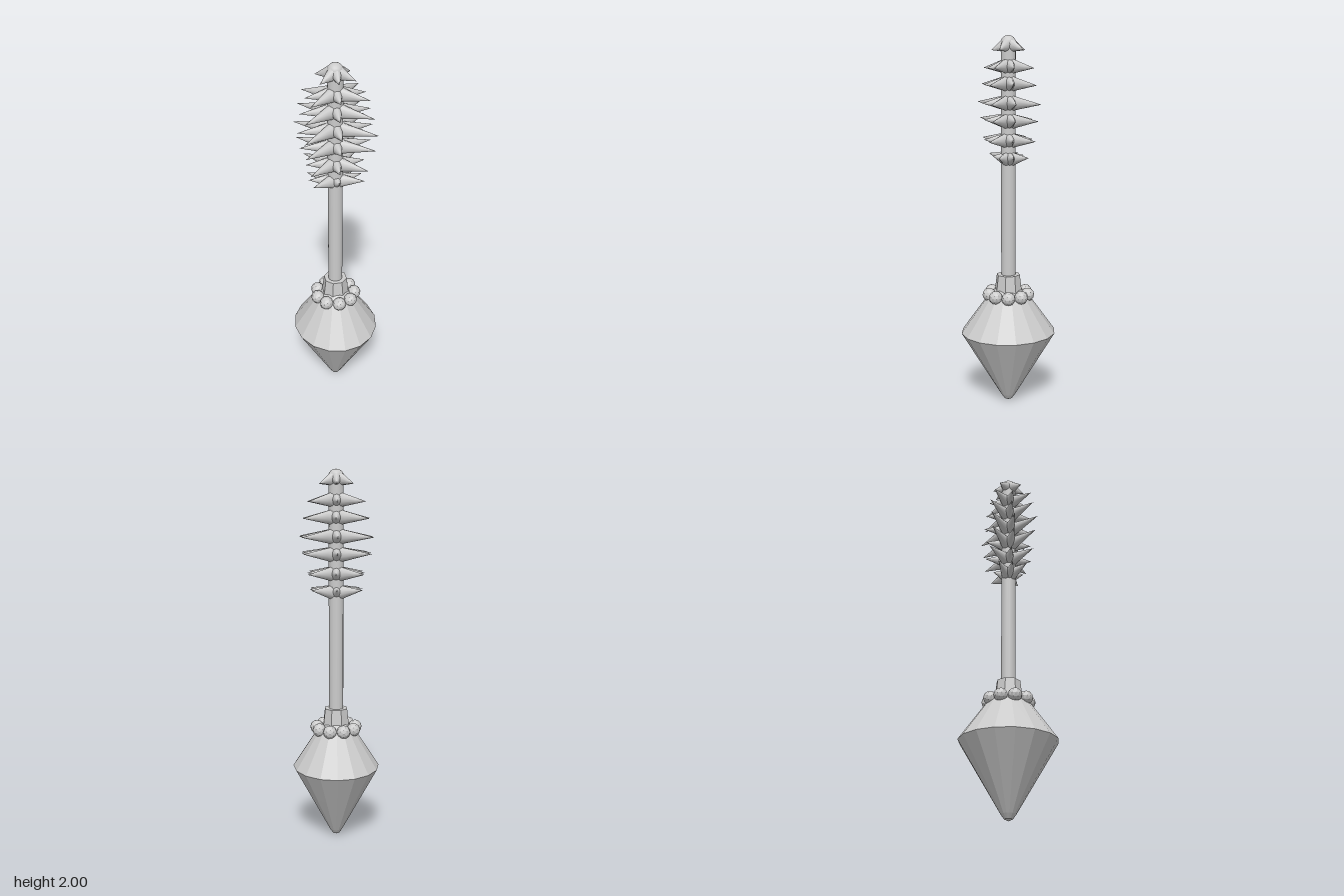
import * as THREE from 'three';

export function createModel() {
  const model = new THREE.Group();
  const smooth = new THREE.MeshStandardMaterial({ color: 0xcccccc });
  const flat = new THREE.MeshStandardMaterial({ color: 0xcccccc, flatShading: true });
  const add = (name, geometry, material, parent = model) => {
    const mesh = new THREE.Mesh(geometry, material);
    mesh.name = name;
    parent.add(mesh);
    return mesh;
  };
  const group = (name) => {
    const g = new THREE.Group();
    g.name = name;
    model.add(g);
    return g;
  };

  // Faceted oval bulb tapering to a blunt point
  const profile = [[0, 0], [0.022, 0.01], [0.04, 0.035], [0.162, 0.24], [0.26, 0.405],
    [0.12, 0.6], [0.07, 0.65], [0, 0.65]].map(([r, y]) => new THREE.Vector2(r, y));
  add('bulb', new THREE.LatheGeometry(profile, 16), flat).scale.x = 0.905;

  // Collar and the ring of beads around it
  add('collar', new THREE.CylinderGeometry(0.064, 0.082, 0.15, 8).rotateY(Math.PI / 8)
    .translate(0, 0.655, 0), flat);
  const beads = group('beadRing');
  for (let i = 0; i < 9; i++) {
    const a = (i * Math.PI * 2) / 9;
    add('bead', new THREE.IcosahedronGeometry(0.037, 1), flat, beads)
      .position.set(Math.sin(a) * 0.106, 0.62, Math.cos(a) * 0.106);
  }

  // Shaft with a domed cap
  add('shaft', new THREE.CylinderGeometry(0.039, 0.039, 1.27, 16).translate(0, 1.335, 0), smooth);
  add('cap', new THREE.SphereGeometry(0.04, 16, 8, 0, Math.PI * 2, 0, Math.PI / 2)
    .scale(1, 0.9, 1).translate(0, 1.964, 0), smooth);

  // A narrow cone from a base point on the axis to its tip
  const up = new THREE.Vector3(0, 1, 0);
  function spike(parent, x, z, baseY, tipY, height) {
    const base = new THREE.Vector3(0, baseY, 0);
    const dir = new THREE.Vector3(x, tipY - baseY, z);
    const length = dir.length();
    dir.normalize();
    const side = new THREE.Vector3().crossVectors(up, dir).normalize();
    const lift = new THREE.Vector3().crossVectors(side, dir);
    const geometry = new THREE.ConeGeometry(1, length, 10, 3).translate(0, length / 2, 0)
      .scale(0.036, 1, height);
    geometry.applyMatrix4(new THREE.Matrix4().makeBasis(side, dir, lift.negate().negate()));
    // makeBasis(side, dir, side x dir) is right-handed, so the winding is kept
    add('spike', geometry.translate(base.x, base.y, base.z), smooth, parent);
  }

  // Tiers: base height, tip height, reach in x, reach in z, slight twist
  const tiers = [
    [1.36, 1.38, 0.14, 0.085, 0.03], [1.46, 1.465, 0.152, 0.13, -0.03],
    [1.56, 1.57, 0.185, 0.13, 0.03], [1.655, 1.655, 0.195, 0.14, 0.04],
    [1.755, 1.75, 0.178, 0.13, -0.03], [1.845, 1.835, 0.153, 0.112, 0.03],
    [1.955, 1.925, 0.092, 0.09, 0],
  ];
  tiers.forEach(([baseY, tipY, rx, rz, twist], t) => {
    const tier = group('spikeTier' + (t + 1));
    const top = t === tiers.length - 1;
    for (const s of [-1, 1]) {
      spike(tier, 0, s * rz, baseY, tipY, 0.045);
      if (!top) spike(tier, s * rx, 0, baseY, tipY, 0.045);
      for (const d of [-1, 1]) {
        spike(tier, s * rx * 0.96, d * rz * (top ? 0.7 : 0.93), baseY, tipY, 0.045);
      }
    }
    tier.rotation.y = twist;
  });

  return model;
}
